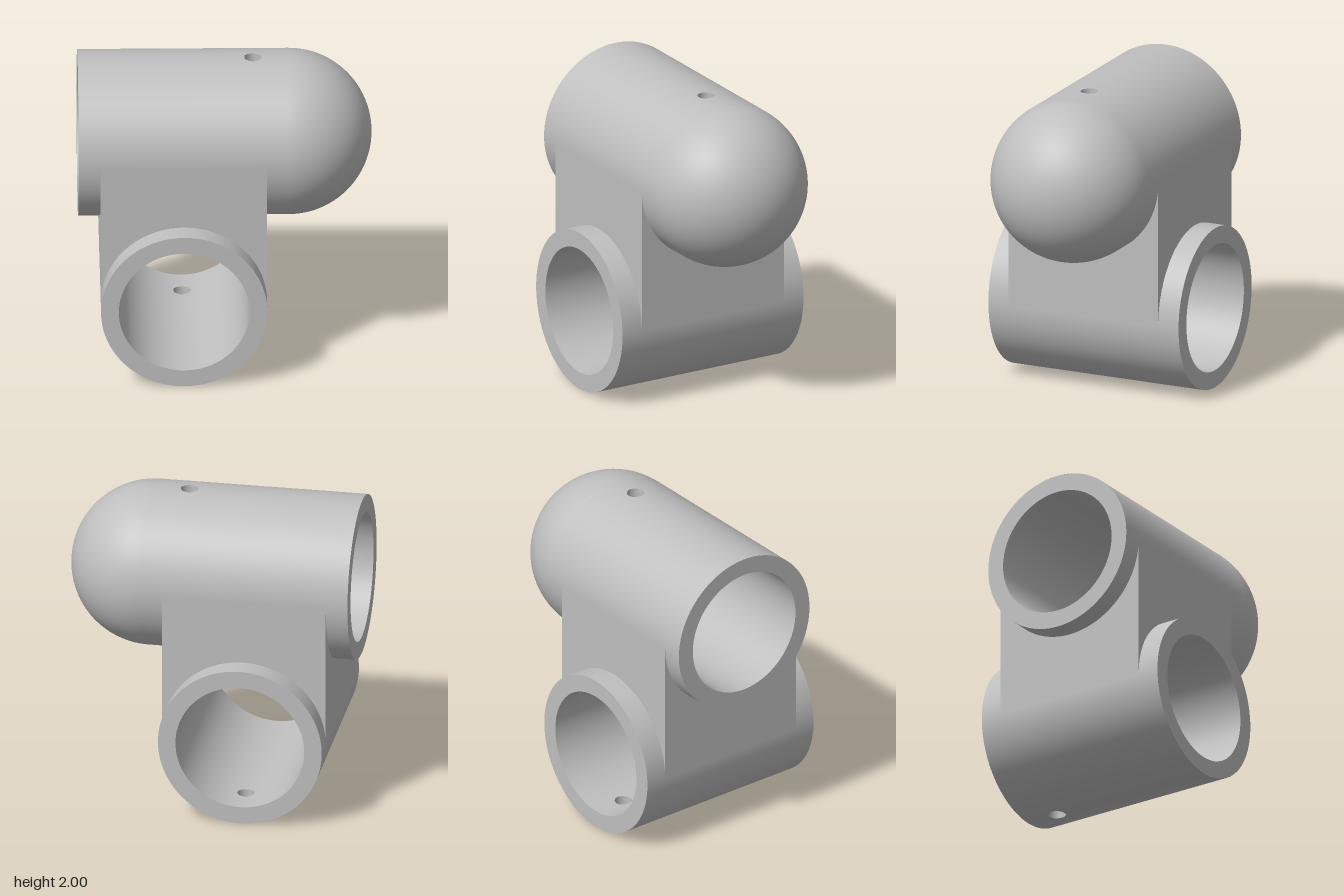
import * as THREE from 'three';
import { ParametricGeometry } from 'three/addons/geometries/ParametricGeometry.js';

const R = 0.528, BORE = 0.415, HOLE = 0.055; // outer, bore and screw hole radii
const A = 0.2, H = 0.1;                      // half angle and half height of the patch round a hole
const UPPER_Y = 1.472, LOWER_X = -0.265;

const grey = new THREE.MeshStandardMaterial({ color: 0xbfbfbf, side: THREE.DoubleSide });
grey.name = 'grey';

function add(parent, name, geometry) {
  const mesh = new THREE.Mesh(geometry, grey);
  mesh.name = name;
  parent.add(mesh);
  return mesh;
}

// Cylinder wall along y from y0 to y1 with a round hole on its +z side at height at
function addWall(parent, name, r, y0, y1, at) {
  const band = (a, b, start, length, segments) =>
    add(parent, name, new THREE.CylinderGeometry(r, r, b - a, segments, 1, true, start, length)
      .translate(0, (a + b) / 2, 0));
  band(y0, y1, A, Math.PI * 2 - 2 * A, 90);
  band(y0, at - H, -A, 2 * A, 12);
  band(at + H, y1, -A, 2 * A, 12);
  // Patch blending from the hole's rim to the square gap in the wall
  add(parent, name, new ParametricGeometry((s, t, p) => {
    const phi = -s * Math.PI * 2, c = Math.cos(phi), d = Math.sin(phi);
    const m = Math.max(Math.abs(c), Math.abs(d));
    const angle = THREE.MathUtils.lerp(Math.asin(HOLE * c / r), A * c / m, t);
    const y = THREE.MathUtils.lerp(HOLE * d, H * d / m, t);
    p.set(r * Math.sin(angle), at + y, r * Math.cos(angle));
  }, 48, 4));
}

// Hollow tube along local y with a screw hole facing local +z
function makeTube(name, y0, y1, at) {
  const tube = new THREE.Group();
  tube.name = name;
  addWall(tube, 'outerWall', R, y0, y1, at);
  addWall(tube, 'bore', BORE, y0, y1, at);
  add(tube, 'screwHole', new ParametricGeometry((s, t, p) => {
    const phi = s * Math.PI * 2, x = HOLE * Math.cos(phi);
    const z = THREE.MathUtils.lerp(Math.sqrt(BORE * BORE - x * x), Math.sqrt(R * R - x * x), t);
    p.set(x, at + HOLE * Math.sin(phi), z);
  }, 48, 1));
  addRim(tube, y0, 1);
  return tube;
}

function addRim(tube, y, sign) {
  add(tube, 'endRim', new THREE.RingGeometry(BORE, R, 96).rotateX(sign * Math.PI / 2).translate(0, y, 0));
}

export function createModel() {
  const model = new THREE.Group();
  model.name = 'crossTubeConnector';
  const X = new THREE.Vector3(1, 0, 0), Y = new THREE.Vector3(0, 1, 0), Z = new THREE.Vector3(0, 0, 1);
  const basis = new THREE.Matrix4();

  // Upper tube along x: open on one end, domed on the other, hole on top
  const domeX = 0.405;
  const upper = makeTube('upperTube', -0.933, domeX, 0.18);
  add(upper, 'dome', new THREE.SphereGeometry(R, 96, 32, 0, Math.PI * 2, 0, Math.PI / 2).translate(0, domeX, 0));
  add(upper, 'boreEnd', new THREE.CircleGeometry(BORE, 96).rotateX(Math.PI / 2).translate(0, domeX, 0));
  upper.quaternion.setFromRotationMatrix(basis.makeBasis(Z, X, Y));
  upper.position.y = UPPER_Y;
  model.add(upper);

  // Lower tube along z: open through, hole underneath
  const lower = makeTube('lowerTube', -0.672, 0.672, -0.45);
  addRim(lower, 0.672, -1);
  lower.quaternion.setFromRotationMatrix(basis.makeBasis(X, Z, Y.clone().negate()));
  lower.position.set(LOWER_X, R, 0);
  model.add(lower);

  // Square web joining the tubes: each side is notched by the tube it meets
  const height = UPPER_Y - R;
  const side = new THREE.Shape();
  side.moveTo(-R, 0);
  side.absarc(0, 0, R, Math.PI, 0, true);
  side.lineTo(R, height);
  side.lineTo(-R, height);
  const web = new THREE.Group();
  web.name = 'web';
  const sideGeometry = new THREE.ShapeGeometry(side, 64);
  for (const s of [1, -1]) {
    const face = add(web, 'webFace', sideGeometry);
    face.position.set(LOWER_X, R, s * R);
    face.rotation.y = s > 0 ? 0 : Math.PI;
    const flank = add(web, 'webFlank', sideGeometry);
    flank.position.set(LOWER_X + s * R, UPPER_Y, 0);
    flank.rotation.set(0, s * Math.PI / 2, Math.PI);
  }
  model.add(web);
  return model;
}
